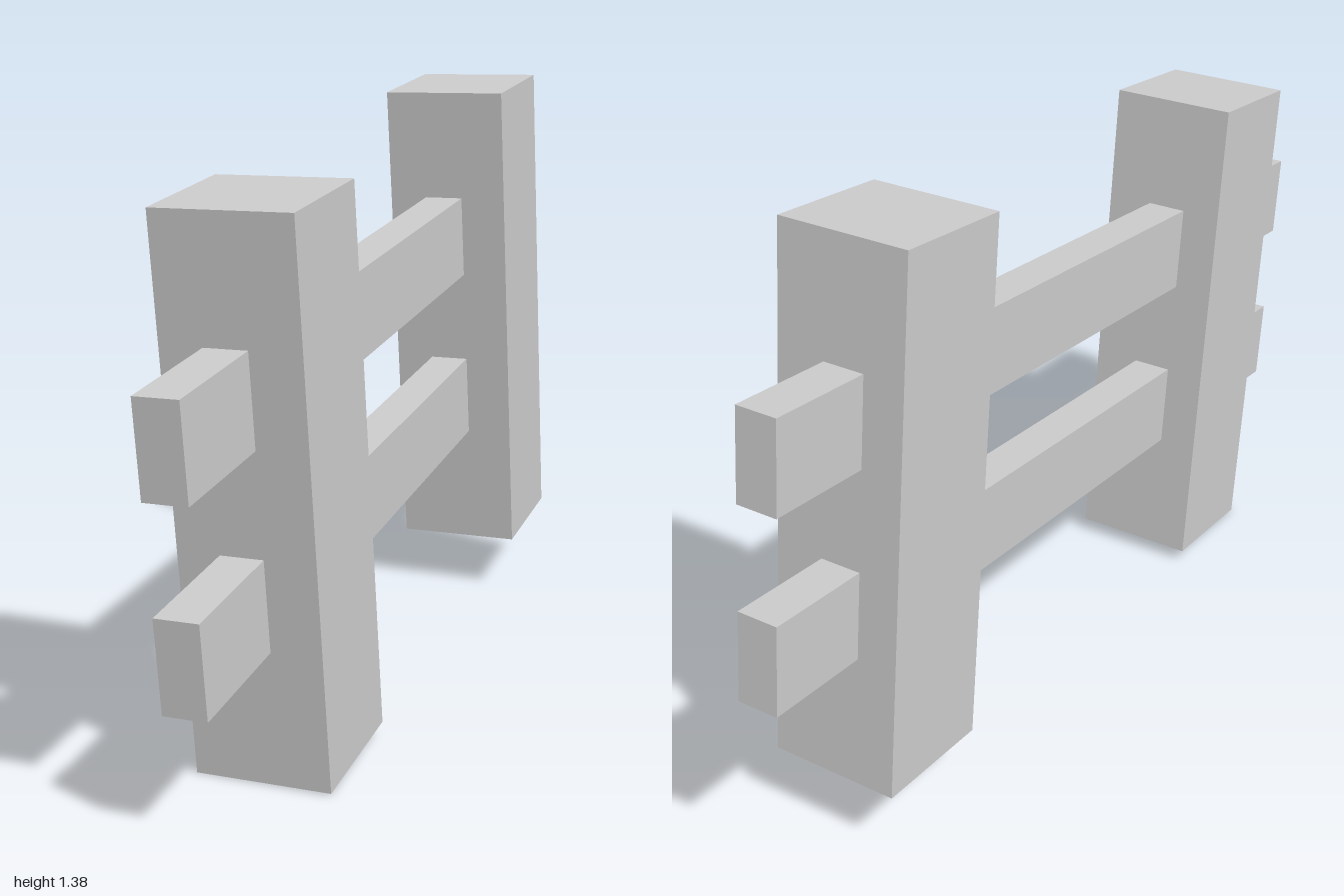
import * as THREE from 'three';

// A box placed by its centre in the fence's own frame
function beam(name, size, position) {
  const material = new THREE.MeshStandardMaterial({ color: 0xcccccc, flatShading: true });
  const mesh = new THREE.Mesh(new THREE.BoxGeometry(...size), material);
  mesh.name = name;
  mesh.position.set(...position);
  return mesh;
}

export function createModel() {
  const fence = new THREE.Group();
  fence.name = 'fence';

  // Two square posts
  for (const [name, x] of [['frontPost', -0.665], ['backPost', 0.665]]) {
    fence.add(beam(name, [0.305, 1.217, 0.305], [x, 0, 0]));
  }

  // Two rails running through both posts
  for (const [name, y] of [['lowerRail', -0.2], ['upperRail', 0.235]]) {
    fence.add(beam(name, [2.183, 0.204, 0.096], [-0.017, y, -0.009]));
  }

  // Lean the whole fence: x along the rails, y up the posts, z through the thickness
  const along = new THREE.Vector3(0.478, 0.104, -0.872).normalize();
  const up = new THREE.Vector3(-0.06, 0.994, 0.086);
  up.addScaledVector(along, -up.dot(along)).normalize();
  const across = new THREE.Vector3().crossVectors(along, up);
  fence.quaternion.setFromRotationMatrix(new THREE.Matrix4().makeBasis(along, up, across));
  fence.position.set(0.015, 0.693, -0.012);

  const model = new THREE.Group();
  model.name = 'leaningFence';
  model.add(fence);
  return model;
}
